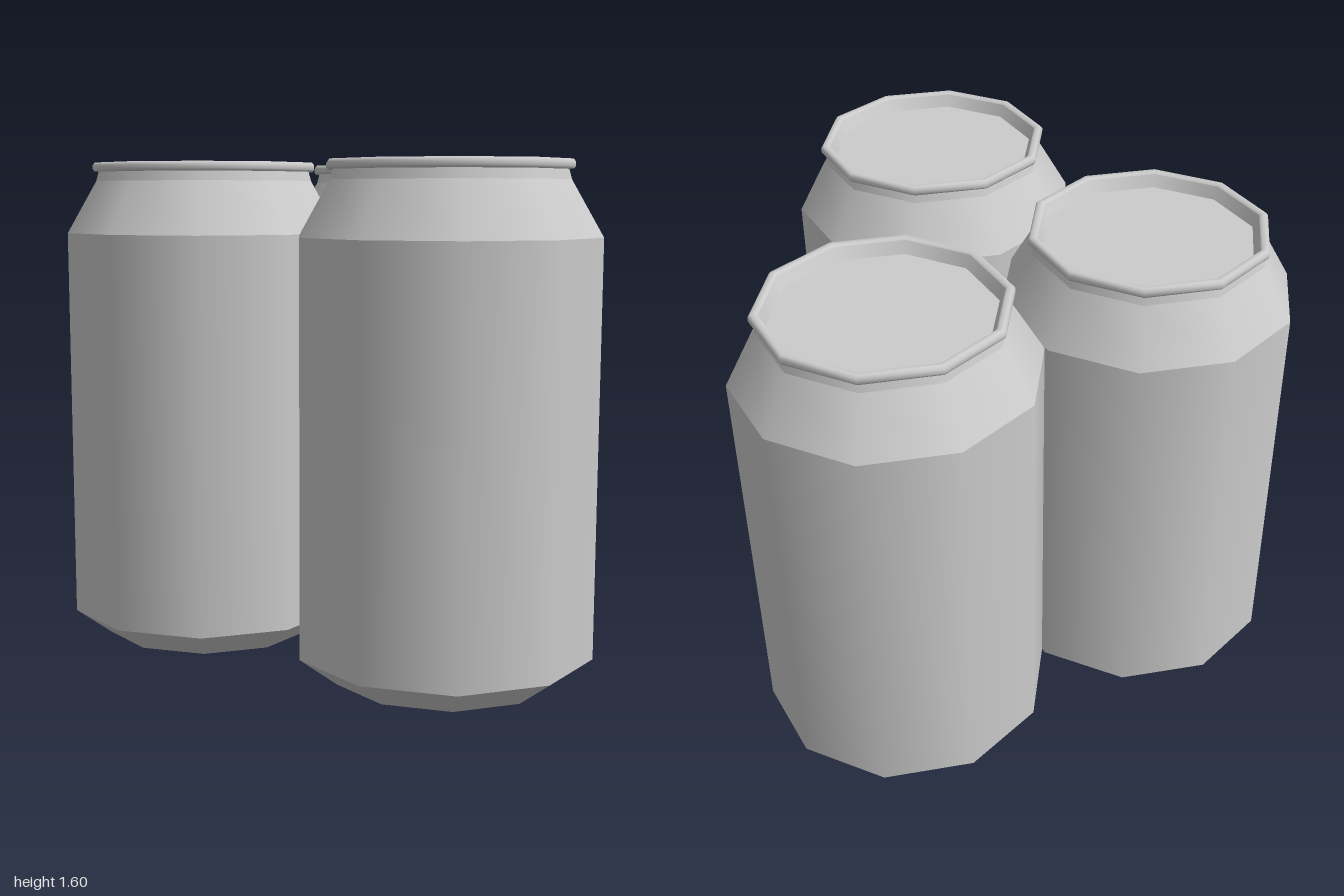
import * as THREE from 'three';

const SIDES = 10;
const material = new THREE.MeshStandardMaterial({ color: 0xcccccc });

// Each profile is its own lathe, so the edges between parts stay sharp
// while the shading around the can is smooth.
const PROFILES = {
  base: [[0, 0], [0.35, 0]],
  bottomBevel: [[0.35, 0], [0.47, 0.09]],
  body: [[0.47, 0.09], [0.47, 1.37]],
  shoulder: [[0.47, 1.37], [0.372, 1.54]],
  neck: [[0.372, 1.54], [0.364, 1.57]],
  rim: [[0.364, 1.57], [0.378, 1.571], [0.383, 1.578], [0.383, 1.591], [0.376, 1.6], [0.361, 1.6], [0.354, 1.594]],
  innerWall: [[0.354, 1.594], [0.336, 1.555]],
  lid: [[0.336, 1.555], [0, 1.555]],
};

const parts = Object.entries(PROFILES).map(([name, profile]) => ({
  name,
  geometry: new THREE.LatheGeometry(profile.map(([r, y]) => new THREE.Vector2(r, y)), SIDES),
}));

function createCan(name, x, z) {
  const can = new THREE.Group();
  can.name = name;
  for (const part of parts) {
    const mesh = new THREE.Mesh(part.geometry, material);
    mesh.name = part.name;
    can.add(mesh);
  }
  can.position.set(x, 0, z);
  return can;
}

export function createModel() {
  const model = new THREE.Group();
  model.name = 'cans';
  model.add(
    createCan('frontCan', 0.38, 0.527),
    createCan('backCan', 0.352, -0.53),
    createCan('sideCan', -0.383, -0.016),
  );
  return model;
}
